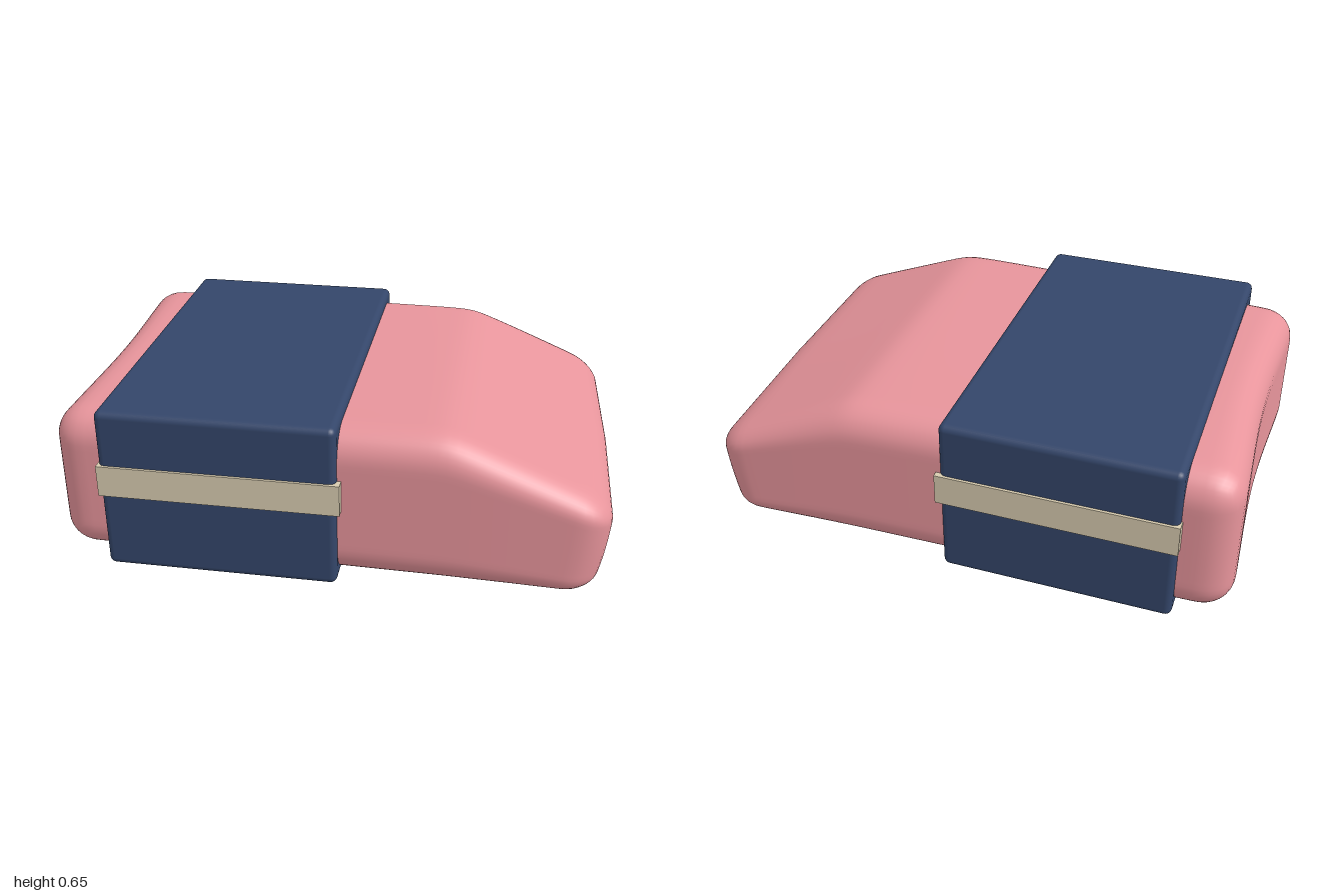
import * as THREE from 'three';
import { mergeVertices } from 'three/addons/utils/BufferGeometryUtils.js';
import { RoundedBoxGeometry } from 'three/addons/geometries/RoundedBoxGeometry.js';

const mat = (name, color) => {
  const m = new THREE.MeshStandardMaterial({ color });
  m.name = name;
  return m;
};

// Soft block: a finely divided box, rounded, then bent by a few rules
function rubberGeometry() {
  const size = new THREE.Vector3(1.98, 0.59, 1.36);
  const radius = 0.12;
  let g = new THREE.BoxGeometry(size.x, size.y, size.z, 60, 24, 48);
  g.deleteAttribute('uv');
  g.deleteAttribute('normal');
  g = mergeVertices(g);
  const inner = size.clone().multiplyScalar(0.5).subScalar(radius);
  const p = new THREE.Vector3(), core = new THREE.Vector3();
  const pos = g.attributes.position;
  for (let i = 0; i < pos.count; i++) {
    p.fromBufferAttribute(pos, i);
    core.copy(p).clamp(inner.clone().negate(), inner);
    p.sub(core).setLength(radius).add(core);

    const t = p.y / size.y + 0.5; // 0 at the bottom, 1 at the top
    const right = THREE.MathUtils.smoothstep(p.x, 0.5, 0.99);
    const left = THREE.MathUtils.smoothstep(-p.x, 0.6, 0.99);
    const x = p.x, z = p.z;

    // worn slope at the right end, slight dip along the top
    const d = x - 0.43;
    const slope = 0.42 * 0.5 * (d + Math.sqrt(d * d + 0.002));
    const top = 0.62 - slope - 0.008 * (1 - Math.cos(z * 3)) * left
      + 0.01 * z * (x > 0 ? 1 : -1) * Math.min(1, Math.abs(x) * 2);
    // shallow bulge under the sleeve
    const r2 = (x + 0.56) ** 2 + (z + 0.25) ** 2;
    const bottom = 0.035 - 0.034 * Math.exp(-r2 / 0.125);
    p.y = bottom + t * (top - bottom);

    // right end leans in below and at the back, left end is hollowed
    p.x += right * (0.015 - 0.05 * (1 - t) ** 2 - 0.035 * Math.max(0, -z) + 0.005 * z);
    p.x += left * (0.015 * Math.cos(z * 4) - 0.004);
    // sides flare a little toward the right end
    p.z *= 0.975 + 0.04 * THREE.MathUtils.smoothstep(x, -1, 0.8);
    p.z -= 0.008;
    pos.setXYZ(i, p.x, p.y, p.z);
  }
  g.computeVertexNormals();
  return g;
}

export function createModel() {
  const group = new THREE.Group();
  const pink = mat('pink rubber', 0xe8959c);
  const navy = mat('navy card', 0x34466a);
  const cream = mat('cream band', 0xd8ccb0);
  const add = (name, geometry, material, x = 0, y = 0, z = 0) => {
    const mesh = new THREE.Mesh(geometry, material);
    mesh.name = name;
    mesh.position.set(x, y, z);
    group.add(mesh);
  };

  add('rubberBlock', rubberGeometry(), pink);

  // Card sleeve around the block
  add('sleeve', new RoundedBoxGeometry(0.86, 0.63, 1.4, 3, 0.025), navy, -0.38, 0.335, 0);

  // Band along both sides of the sleeve
  for (const s of [1, -1]) {
    add(s > 0 ? 'frontBand' : 'backBand', new THREE.BoxGeometry(0.88, 0.12, 0.04), cream, -0.375, 0.38, s * 0.69);
  }
  return group;
}
